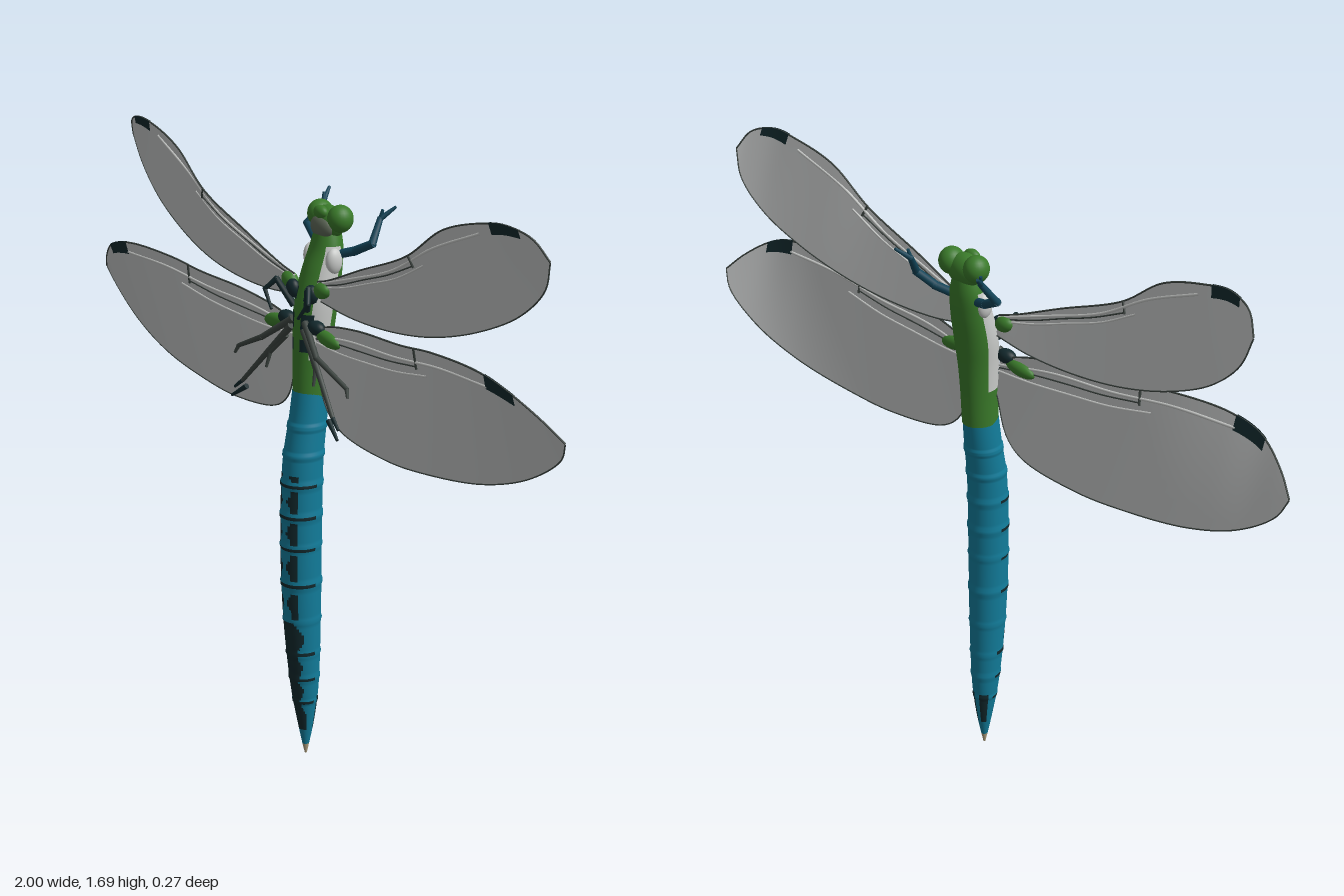
import * as THREE from 'three';

const V = (x, y, z) => new THREE.Vector3(x, y, z);
const curve = (pts, s = 1) => new THREE.CatmullRomCurve3(pts.map(p => V(p[0] * s, p[1], p[2])), false, 'centripetal');

export function createModel() {
  const model = new THREE.Group();
  const mat = (name, color, double) => {
    const m = new THREE.MeshStandardMaterial({ color });
    m.name = name;
    if (double) m.side = THREE.DoubleSide;
    return m;
  };
  const blue = mat('abdomen blue', 0x127c9a), green = mat('thorax green', 0x3a7a2a);
  const dark = mat('dark marking', 0x12282c, true), wingGrey = mat('wing grey', 0xc4c6c6, true);
  const pale = mat('pale flank', 0xc9cbc9), legGrey = mat('leg grey', 0x3c4440);
  const limbBlue = mat('foreleg blue', 0x124458), tan = mat('tail tan', 0xb0a080);
  const face = mat('face grey', 0x5c6656);

  const add = (name, geo, material) => {
    const m = new THREE.Mesh(geo, material);
    m.name = name;
    model.add(m);
    return m;
  };
  const ball = (name, p, r, material, tilt = 0) => {
    const m = add(name, new THREE.SphereGeometry(1, 24, 16), material);
    m.position.set(...p);
    m.scale.set(...r);
    m.rotation.z = tilt;
  };
  const tube = (name, path, r, material, n = 40) => add(name, new THREE.TubeGeometry(path, n, r, 6), material);

  // Oval body loft from rows of [y, half width, back z, front z], bottom to top;
  // paint(angle, y) chooses the material of each face
  function loft(name, rows, n, materials, paint, swell = () => 1) {
    const size = curve(rows.map(r => [r[1], r[0], (r[3] - r[2]) / 2]));
    const mid = curve(rows.map(r => [r[1], r[0], (r[3] + r[2]) / 2]));
    const R = 48, pos = [], buckets = materials.map(() => []);
    for (let i = 0; i <= n; i++) {
      const p = size.getPoint(i / n), zc = mid.getPoint(i / n).z, k = swell(p.y);
      for (let j = 0; j < R; j++) {
        const a = j / R * Math.PI * 2;
        pos.push(Math.sin(a) * p.x * k, p.y, zc + Math.cos(a) * p.z * k);
      }
    }
    for (let i = 0; i < n; i++) for (let j = 0; j < R; j++) {
      const a = i * R + j, b = i * R + (j + 1) % R;
      const y = (pos[a * 3 + 1] + pos[(a + R) * 3 + 1]) / 2;
      buckets[paint((j + 0.5) / R * Math.PI * 2, y)].push(a, b, b + R, a, b + R, a + R);
    }
    const g = new THREE.BufferGeometry();
    g.setAttribute('position', new THREE.Float32BufferAttribute(pos, 3));
    g.setIndex(buckets.flat());
    let start = 0;
    buckets.forEach((b, i) => { g.addGroup(start, b.length, i); start += b.length; });
    g.computeVertexNormals();
    add(name, g, materials);
  }

  // Segmented abdomen with dark belly pattern
  const seams = [0.17, 0.24, 0.32, 0.42, 0.53, 0.64, 0.73, 0.82, 0.9, 0.98];
  const nearSeam = y => Math.min(...seams.map(s => Math.abs(s - y)));
  const belly = (a, y) => {
    const f = Math.cos(a), w = Math.abs(Math.sin(a));
    if (y < 0.03) return 2;
    if (nearSeam(y) < 0.004 && y < 0.85 && f > -0.1) return 1;
    if (y > 0.08 && y < 0.18 && f < -0.5 && w > 0.2) return 1;
    if (f < 0 || y > 0.85 || y < 0.08) return 0;
    if (y < 0.42) return w > 0.06 && w < 0.5 + 0.35 * Math.min(1, nearSeam(y) * 25) ? 1 : 0;
    const i = seams.findIndex(s => s > y), t = (y - seams[i - 1]) / (seams[i] - seams[i - 1]);
    const inner = 0.12 + 0.35 * Math.abs(Math.cos(Math.PI * t));
    return w > inner && w < 0.72 && t > 0.12 && t < 0.82 ? 1 : 0;
  };
  loft('abdomen', [
    [0, 0.003, 0.057, 0.063], [0.03, 0.009, 0.05, 0.07], [0.1, 0.022, 0.036, 0.084], [0.2, 0.036, 0.024, 0.102],
    [0.42, 0.049, 0.018, 0.125], [0.66, 0.054, 0.016, 0.132], [0.88, 0.053, 0.01, 0.123],
    [1.0, 0.049, -0.004, 0.102], [1.09, 0.045, -0.014, 0.09],
  ], 200, [blue, dark, tan], belly, y => nearSeam(y) < 0.007 ? 1.05 : 1);

  // Thorax: green with pale flanks under the wings and dark belly plates
  loft('thorax', [
    [1.065, 0.046, -0.014, 0.092], [1.16, 0.048, -0.02, 0.09], [1.24, 0.052, -0.027, 0.088],
    [1.32, 0.058, -0.038, 0.08], [1.4, 0.056, -0.05, 0.055], [1.46, 0.05, -0.054, 0.03], [1.52, 0.032, -0.05, 0.015],
  ], 70, [green, pale, dark], (a, y) => {
    const f = Math.cos(a), w = Math.abs(Math.sin(a));
    if (y > 1.19 && y < 1.38 && f > 0.2 && w > 0.3 && w < 0.8 && Math.sin(y * 90) > -0.2) return 2;
    return y > 1.17 && y < 1.47 && f > -0.3 && w > 0.75 ? 1 : 0;
  });

  // Head
  ball('head', [0, 1.525, -0.02], [0.055, 0.045, 0.036], green);
  ball('face', [0, 1.515, 0.002], [0.042, 0.032, 0.022], face);
  ball('brow', [0, 1.555, 0.006], [0.025, 0.018, 0.016], green);
  ball('mouth', [0, 1.485, 0.004], [0.028, 0.016, 0.018], dark);

  // Patch of a wing between its leading and trailing curves
  function patch(lead, trail, u0, u1, v0, v1, nu, nv, dz = 0) {
    const g = new THREE.PlaneGeometry(1, 1, nu, nv), p = g.attributes.position;
    for (let i = 0; i < p.count; i++) {
      const u = u0 + (p.getX(i) + 0.5) * (u1 - u0), v = v0 + (0.5 - p.getY(i)) * (v1 - v0);
      const q = lead.getPointAt(u).lerp(trail.getPointAt(u), v);
      p.setXYZ(i, q.x, q.y, q.z + dz);
    }
    // restore winding on the mirrored side
    if (lead.getPoint(1).x < 0) {
      const ix = g.index.array;
      for (let i = 0; i < ix.length; i += 3) [ix[i], ix[i + 1]] = [ix[i + 1], ix[i]];
    }
    g.computeVertexNormals();
    return g;
  }

  const wings = [
    { name: 'foreWing', stigma: [0.785, 0.885],
      lead: [[0.05, 1.385, 0.055], [0.1, 1.4, 0.06], [0.25, 1.462, 0.07], [0.44, 1.54, 0.075], [0.57, 1.632, 0.07],
        [0.7, 1.673, 0.06], [0.785, 1.683, 0.055], [0.855, 1.662, 0.035], [0.89, 1.61, 0.01]],
      trail: [[0.05, 1.33, 0.045], [0.17, 1.313, 0.04], [0.33, 1.313, 0.035], [0.49, 1.335, 0.028], [0.65, 1.385, 0.015],
        [0.785, 1.455, 0.003], [0.865, 1.535, 0], [0.89, 1.61, 0.01]] },
    { name: 'hindWing', stigma: [0.735, 0.835],
      lead: [[0.05, 1.25, 0.06], [0.1, 1.275, 0.065], [0.25, 1.303, 0.08], [0.44, 1.313, 0.09], [0.57, 1.328, 0.1],
        [0.76, 1.33, 0.112], [0.865, 1.305, 0.107], [0.95, 1.25, 0.075], [1, 1.2, 0.045]],
      trail: [[0.045, 1.15, 0.055], [0.085, 1.04, 0.05], [0.145, 0.993, 0.047], [0.33, 0.967, 0.045], [0.49, 0.975, 0.042],
        [0.705, 1.01, 0.036], [0.865, 1.07, 0.03], [0.975, 1.15, 0.032], [1, 1.2, 0.045]] },
  ];

  for (const s of [1, -1]) {
    const side = s > 0 ? 'left' : 'right';

    for (const w of wings) {
      const lead = curve(w.lead, s), trail = curve(w.trail, s), name = `${side} ${w.name}`;
      add(name, patch(lead, trail, 0, 1, 0, 1, 48, 10), wingGrey);
      tube(`${name} front edge`, lead, 0.0025, legGrey, 60);
      tube(`${name} rear edge`, trail, 0.002, legGrey, 60);
      for (const dz of [0.003, -0.003])
        add(`${name} tip mark`, patch(lead, trail, ...w.stigma, -0.01, 0.12, 10, 2, dz), dark);
      // veins running from the root
      const vein = (v0, v1, u1) => new THREE.CatmullRomCurve3([0, 0.25, 0.5, 0.75, 1].map(t =>
        lead.getPointAt(t * u1).lerp(trail.getPointAt(t * u1), v0 + (v1 - v0) * t)));
      tube(`${name} main vein`, vein(0.12, 0.1, 0.74), 0.004, pale);
      tube(`${name} second vein`, vein(0.3, 0.2, 0.5), 0.003, pale);
      tube(`${name} dark vein`, vein(0.2, 0.14, 0.46), 0.0022, legGrey);
      tube(`${name} notch`, new THREE.LineCurve3(lead.getPointAt(0.45), lead.getPointAt(0.46).lerp(trail.getPointAt(0.46), 0.16)), 0.004, legGrey, 2);
    }

    // Wing roots
    ball(`${side} hind wing root`, [s * 0.115, 1.245, 0.068], [0.05, 0.02, 0.018], green, -s * 0.15);
    ball(`${side} hind wing joint`, [s * 0.065, 1.265, 0.07], [0.03, 0.02, 0.02], dark);
    ball(`${side} fore wing root`, [s * 0.07, 1.365, 0.055], [0.03, 0.022, 0.02], green, s * 0.3);
    ball(`${side} chest plate`, [s * 0.04, 1.35, 0.068], [0.022, 0.026, 0.018], dark);
    ball(`${side} shoulder`, [s * 0.048, 1.43, 0.0], [0.018, 0.035, 0.025], pale);

    // Eyes
    ball(`${side} eye`, [s * 0.043, 1.54, -0.025], [0.034, 0.037, 0.036], green);

    // Raised forelegs with forked ends
    const limb = (name, pts, r, m) => {
      for (let i = 0; i < pts.length - 1; i++) {
        const a = V(pts[i][0] * s, pts[i][1], pts[i][2]), b = V(pts[i + 1][0] * s, pts[i + 1][1], pts[i + 1][2]);
        const seg = add(`${side} ${name}`, new THREE.CylinderGeometry(r[i + 1], r[i], a.distanceTo(b) + r[i + 1], 10), m);
        seg.position.copy(a).lerp(b, 0.5);
        seg.quaternion.setFromUnitVectors(V(0, 1, 0), b.sub(a).normalize());
      }
    };
    limb('foreleg', [[0.04, 1.445, -0.02], [0.085, 1.46, -0.04], [0.14, 1.488, -0.055], [0.122, 1.545, -0.095], [0.142, 1.575, -0.13]],
      [0.012, 0.012, 0.011, 0.008, 0.004], limbBlue);
    limb('foreleg claw', [[0.122, 1.545, -0.095], [0.126, 1.568, -0.1]], [0.006, 0.004], limbBlue);

    // Folded legs on the belly
    limb('front leg', [[0.03, 1.31, 0.075], [0.07, 1.375, 0.1], [0.095, 1.345, 0.12], [0.06, 1.3, 0.125]], [0.01, 0.008, 0.006, 0.004], dark);
    limb('middle leg', [[0.03, 1.27, 0.08], [0.12, 1.205, 0.112], [0.24, 1.15, 0.105], [0.25, 1.13, 0.11]], [0.01, 0.008, 0.006, 0.004], legGrey);
    limb('middle leg shin', [[0.05, 1.22, 0.085], [0.1, 1.165, 0.1], [0.105, 1.125, 0.11]], [0.008, 0.006, 0.004], legGrey);
    limb('hind leg', [[0.03, 1.25, 0.085], [0.11, 1.165, 0.1], [0.2, 1.065, 0.12]], [0.01, 0.008, 0.006], legGrey);
    limb('hind foot', [[0.185, 1.05, 0.12], [0.235, 1.015, 0.132]], [0.008, 0.004], dark);
    limb('hind claw', [[0.2, 1.065, 0.12], [0.23, 1.04, 0.125]], [0.006, 0.004], dark);
  }
  return model;
}
